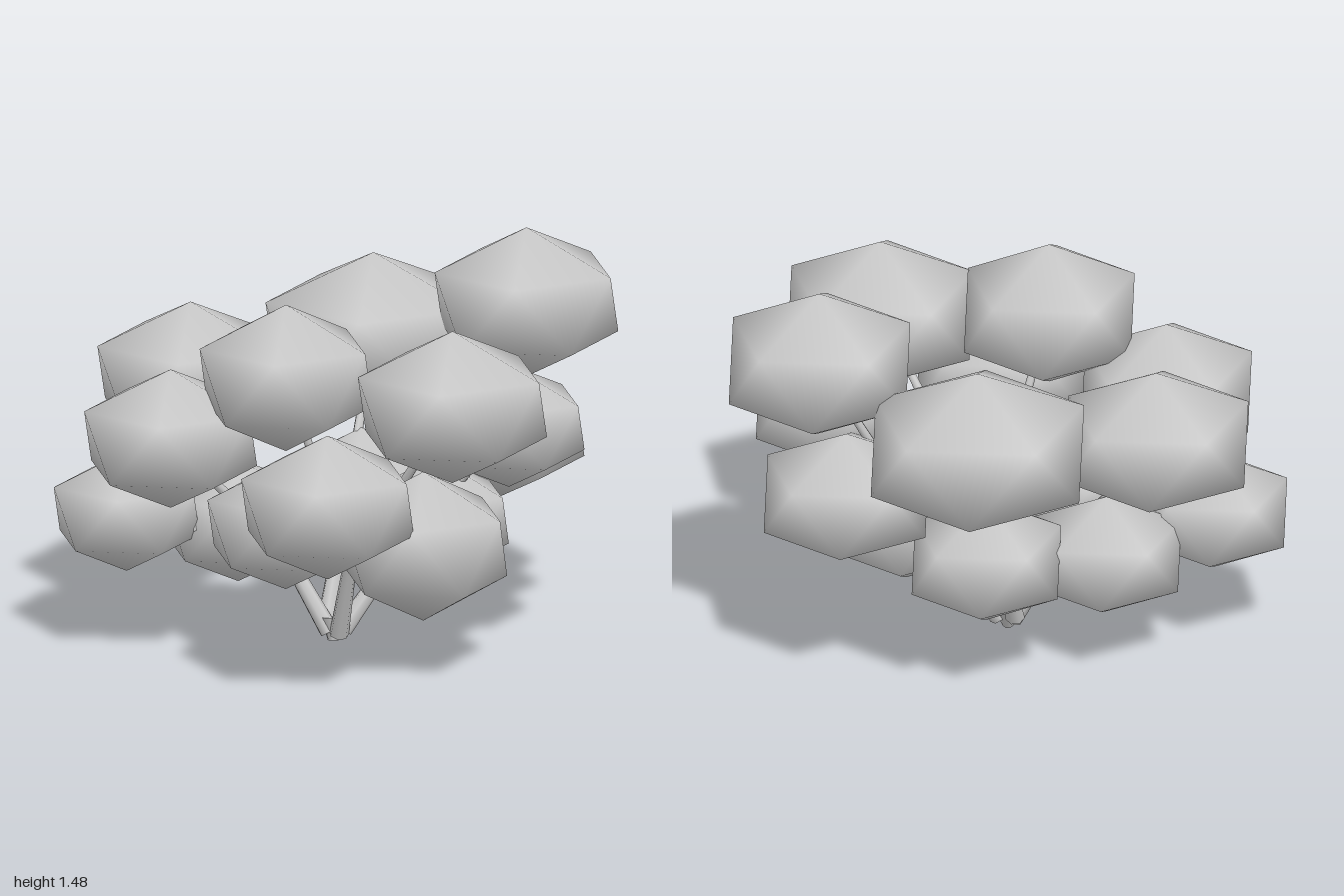
import * as THREE from 'three';

const grey = new THREE.MeshStandardMaterial({ color: 0xcccccc });
grey.name = 'plainGrey';

// Twenty-sided clump with a vertex at each pole and smooth normals
function clumpGeometry(radius, halfHeight) {
  const points = [0, halfHeight, 0];
  for (const [level, turn] of [[0.45, 0], [-0.45, 0.5]]) {
    for (let i = 0; i < 5; i++) {
      const a = (i + turn) * Math.PI * 2 / 5;
      points.push(radius * Math.cos(a), level * halfHeight, -radius * Math.sin(a));
    }
  }
  points.push(0, -halfHeight, 0);
  const index = [];
  for (let i = 0; i < 5; i++) {
    const j = (i + 1) % 5;
    const u = 1 + i, u2 = 1 + j, l = 6 + i, l2 = 6 + j;
    index.push(0, u, u2, u, l, u2, l, l2, u2, 11, l2, l);
  }
  const g = new THREE.BufferGeometry();
  g.setAttribute('position', new THREE.Float32BufferAttribute(points, 3));
  g.setIndex(index);
  g.computeVertexNormals();
  return g;
}

// Tapered round stick between two points
function stick(name, from, to, r0, r1) {
  const a = new THREE.Vector3(...from), b = new THREE.Vector3(...to);
  const dir = b.clone().sub(a);
  const mesh = new THREE.Mesh(new THREE.CylinderGeometry(r1, r0, dir.length(), 7), grey);
  mesh.position.copy(a).add(b).multiplyScalar(0.5);
  mesh.quaternion.setFromUnitVectors(new THREE.Vector3(0, 1, 0), dir.normalize());
  mesh.name = name;
  return mesh;
}

// Each limb: its foot, its fork, and the clumps it carries [x, y, z, radius, half height]
const limbs = [
  { foot: [-0.04, 0.04, -0.01], fork: [0.14, 0.3, 0.08], clumps: [
    [0.62, 1.2, 0.285, 0.34, 0.28],
    [0.28, 0.84, 0.52, 0.28, 0.23],
    [0.61, 0.7, 0.165, 0.31, 0.25],
    [0.21, 0.45, 0.22, 0.27, 0.235],
  ] },
  { foot: [-0.04, 0.06, -0.09], fork: [0.1, 0.35, -0.15], clumps: [
    [0.48, 0.99, -0.35, 0.4, 0.31],
    [0.3, 0.455, -0.24, 0.28, 0.24],
  ] },
  { foot: [-0.07, 0.03, 0], fork: [-0.14, 0.32, 0.12], clumps: [
    [-0.16, 1.015, 0.655, 0.35, 0.285],
    [-0.14, 0.46, 0.49, 0.31, 0.28],
    [-0.62, 0.69, 0.465, 0.32, 0.27],
    [-0.45, 1.08, 0.095, 0.32, 0.275],
    [-0.32, 0.48, -0.03, 0.29, 0.24],
  ] },
  { foot: [-0.07, 0.03, -0.05], fork: [-0.15, 0.32, -0.2], clumps: [
    [-0.15, 0.9, -0.67, 0.345, 0.275],
    [-0.13, 0.39, -0.45, 0.28, 0.23],
    [-0.65, 0.82, -0.295, 0.32, 0.26],
    [-0.54, 0.47, -0.62, 0.27, 0.225],
  ] },
];

export function createModel() {
  const model = new THREE.Group();
  model.name = 'bush';
  const branches = new THREE.Group();
  branches.name = 'branches';
  const foliage = new THREE.Group();
  foliage.name = 'foliage';
  model.add(branches, foliage);

  for (const { foot, fork, clumps } of limbs) {
    branches.add(stick('limb', foot, fork, 0.036, 0.026));
    for (const [x, y, z, radius, halfHeight] of clumps) {
      branches.add(stick('twig', fork, [x, y, z], 0.024, 0.012));
      const clump = new THREE.Mesh(clumpGeometry(radius, halfHeight), grey);
      clump.position.set(x, y, z);
      clump.name = 'leafClump';
      foliage.add(clump);
    }
  }
  // Short root joining the limbs
  branches.add(stick('root', [-0.07, 0, -0.03], [-0.055, 0.08, -0.04], 0.02, 0.05));
  return model;
}
